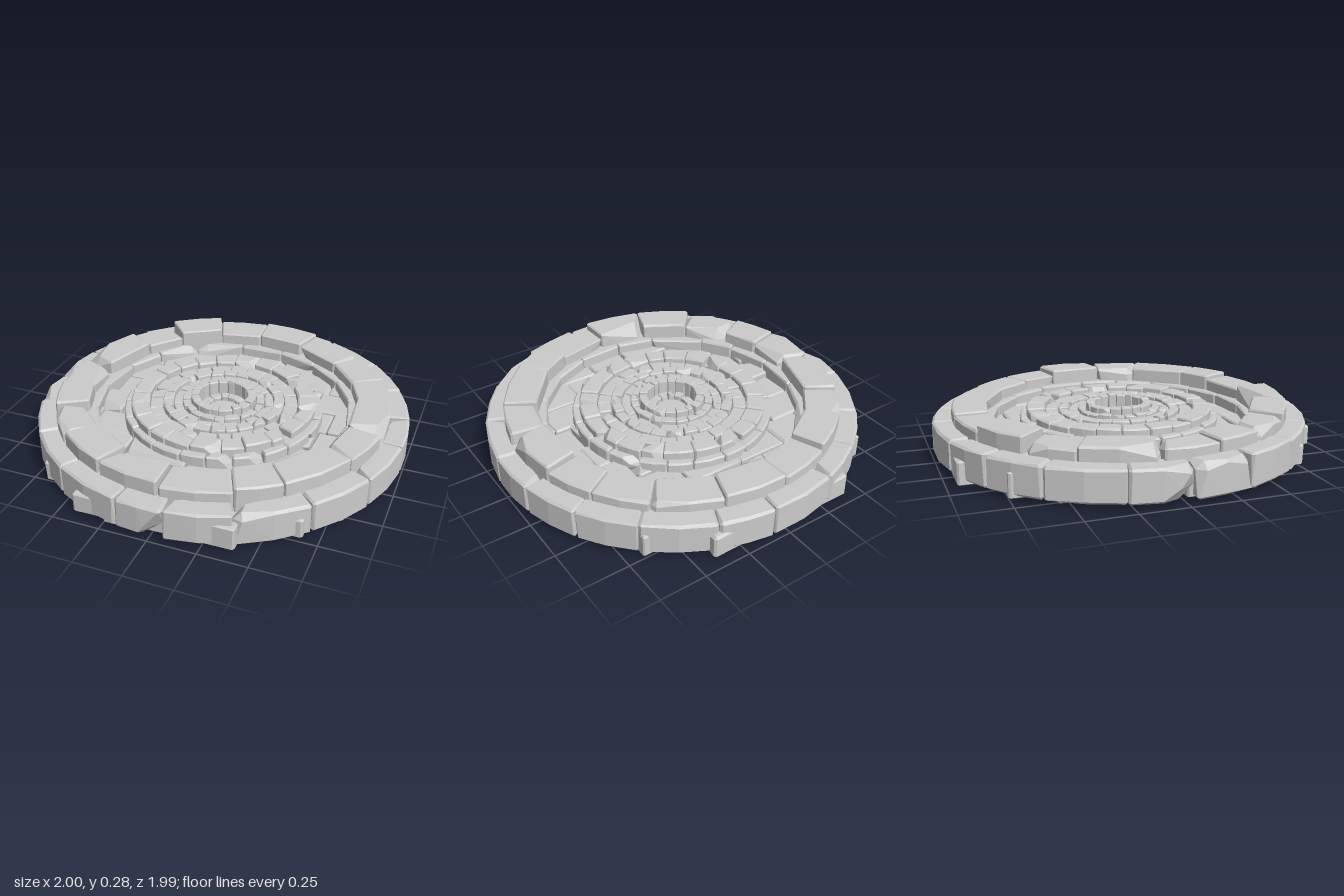
import * as THREE from 'three';
import { ConvexGeometry } from 'three/addons/geometries/ConvexGeometry.js';
import { mergeGeometries } from 'three/addons/utils/BufferGeometryUtils.js';

const material = new THREE.MeshStandardMaterial({ color: 0xcccccc, flatShading: true });

// small seeded random generator
let seed = 7;
function rand(min = 0, max = 1) {
  seed = (seed * 16807) % 2147483647;
  return min + (max - min) * (seed / 2147483647);
}

// Bevelled block between two corners in (u, v, y); place() maps it into space.
// size gives the real lengths along u, v and y, so that bevels stay even.
function stone(lo, hi, size, bevel, place, bulge = false) {
  const points = [];
  for (let corner = 0; corner < 8; corner++) {
    const high = [corner & 1, corner & 2, corner & 4];
    const chip = rand() < 0.09 ? rand(3, 7) : 1; // a few corners are broken off
    const inset = size.map((s, a) =>
      Math.min(bevel * chip * rand(0.5, 1.4) / s, 0.4) * (hi[a] - lo[a]));
    for (let face = 0; face < 3; face++) {
      const p = inset.map((d, a) => {
        const move = a === face ? 0 : d;
        return high[a] ? hi[a] - move : lo[a] + move;
      });
      points.push(place(...p));
    }
  }
  // middle of the curved outer side
  if (bulge) {
    const mid = (lo[1] + hi[1]) / 2;
    points.push(place(hi[0], mid, lo[2] + bevel), place(hi[0], mid, hi[2] - bevel));
    points.push(place(hi[0] - bevel, mid, lo[2]), place(hi[0] - bevel, mid, hi[2]));
  }
  const geometry = new ConvexGeometry(points);
  geometry.deleteAttribute('uv');
  return geometry;
}

const polar = (r, a, y) => new THREE.Vector3(r * Math.sin(a), y, r * Math.cos(a));
const flat = (x, z, y) => new THREE.Vector3(x, y, z);

function addMesh(group, name, stones) {
  const mesh = new THREE.Mesh(mergeGeometries(stones), material);
  mesh.name = name;
  group.add(mesh);
}

// Ring of wedge stones with uneven widths and tops
function ring({ inner, outer, bottom, top, count, vary, bevel }) {
  const step = (Math.PI * 2) / count;
  const start = rand(0, step);
  const joints = [];
  for (let i = 0; i < count; i++) joints.push(start + step * (i + rand(-0.16, 0.16)));
  joints.push(joints[0] + Math.PI * 2);
  const half = 0.0015 / outer;
  const stones = [];
  for (let i = 0; i < count; i++) {
    const lo = [inner, joints[i] + half, bottom];
    const hi = [outer - rand(0, 0.003), joints[i + 1] - half, top + rand(-vary, vary)];
    const size = [hi[0] - lo[0], (hi[1] - lo[1]) * outer, hi[2] - lo[2]];
    stones.push(stone(lo, hi, size, bevel, polar, true));
  }
  return stones;
}

// Staggered slabs trimmed to a circle, closing the underside
function floorSlabs(radius) {
  const stones = [];
  const rows = 10;
  const depth = (radius * 2) / rows;
  for (let row = 0; row < rows; row++) {
    const z0 = (row - rows / 2) * depth;
    const z1 = z0 + depth;
    const middle = (z0 + z1) / 2;
    const limit = Math.sqrt(radius * radius - middle * middle);
    let x = -limit;
    let width = row % 2 ? 0.16 : 0.28;
    while (x < limit - 0.01) {
      let end = x + width;
      if (limit - end < 0.12) end = limit;
      // most slabs sit level, a few hang lower
      const bottom = rand() < 0.2 ? rand(0.004, 0.015) : rand(0.018, 0.034);
      const lo = [x + 0.002, z0 + 0.002, bottom];
      const hi = [end - 0.002, z1 - 0.002, 0.14 + rand(-0.012, 0.012)];
      stones.push(stone(lo, hi, hi.map((h, a) => h - lo[a]), 0.009, flat));
      x = end;
      width = rand(0.22, 0.36);
    }
  }
  return stones;
}

export function createModel() {
  const group = new THREE.Group();
  group.name = 'roundStonePlatform';

  addMesh(group, 'floorSlabs', floorSlabs(0.95));

  // Concentric courses from the rim to the centre
  const courses = [
    { name: 'outerRim', inner: 0.86, outer: 1.0, bottom: 0.035, top: 0.203, count: 19, vary: 0.003, bevel: 0.012 },
    { name: 'raisedRim', inner: 0.72, outer: 0.9, bottom: 0.1, top: 0.274, count: 18, vary: 0.018, bevel: 0.01 },
    { name: 'rimLedge', inner: 0.68, outer: 0.82, bottom: 0.1, top: 0.2, count: 18, vary: 0.006, bevel: 0.009 },
    { name: 'pavingStep', inner: 0.44, outer: 0.54, bottom: 0.1, top: 0.195, count: 22, vary: 0.005, bevel: 0.008 },
    { name: 'pavingRing1', inner: 0.405, outer: 0.502, bottom: 0.1, top: 0.236, count: 23, vary: 0.006, bevel: 0.008 },
    { name: 'pavingRing2', inner: 0.332, outer: 0.403, bottom: 0.1, top: 0.21, count: 24, vary: 0.006, bevel: 0.006 },
    { name: 'pavingRing3', inner: 0.275, outer: 0.33, bottom: 0.1, top: 0.226, count: 24, vary: 0.006, bevel: 0.005 },
    { name: 'pavingRing4', inner: 0.225, outer: 0.273, bottom: 0.1, top: 0.212, count: 22, vary: 0.005, bevel: 0.004 },
    { name: 'pavingRing5', inner: 0.18, outer: 0.223, bottom: 0.1, top: 0.226, count: 20, vary: 0.005, bevel: 0.004 },
    { name: 'centreCrown', inner: 0.132, outer: 0.178, bottom: 0.1, top: 0.255, count: 18, vary: 0.005, bevel: 0.004 },
    { name: 'wellStep', inner: 0.085, outer: 0.13, bottom: 0.1, top: 0.185, count: 14, vary: 0.004, bevel: 0.004 },
  ];
  for (const course of courses) addMesh(group, course.name, ring(course));

  // Round stone at the bottom of the well
  const centre = new THREE.Mesh(new THREE.CylinderGeometry(0.085, 0.087, 0.08, 16), material);
  centre.name = 'centreStone';
  centre.position.y = 0.12;
  group.add(centre);

  return group;
}
